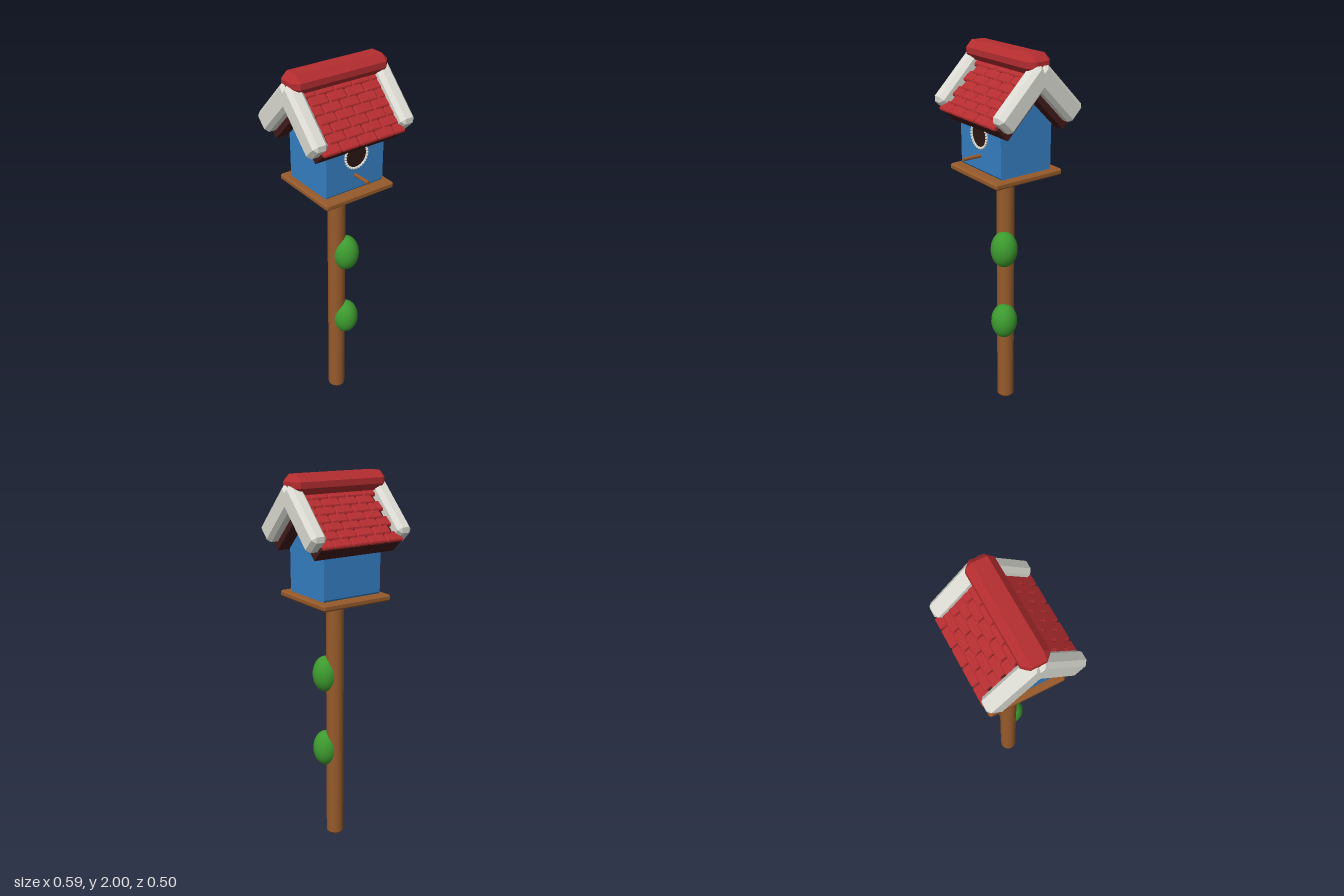
import * as THREE from 'three';
import { ConvexGeometry } from 'three/addons/geometries/ConvexGeometry.js';

const paint = (name, color) => Object.assign(new THREE.MeshStandardMaterial({ color }), { name });

// Box with every edge and corner chamfered by c
function chamferBox(w, h, d, c) {
  const pts = [];
  const half = [w / 2, h / 2, d / 2];
  for (let axis = 0; axis < 3; axis++)
    for (const sx of [-1, 1]) for (const sy of [-1, 1]) for (const sz of [-1, 1]) {
      const s = [sx, sy, sz];
      pts.push(new THREE.Vector3(...half.map((v, i) => s[i] * (i === axis ? v : v - c))));
    }
  return new ConvexGeometry(pts);
}

// Symmetric gable profile of [z, y] points, extruded along x and centred
function gable(points, width) {
  const shape = new THREE.Shape(points.map(([z, y]) => new THREE.Vector2(z, y)));
  const geo = new THREE.ExtrudeGeometry(shape, { depth: width, bevelEnabled: false });
  return geo.translate(0, 0, -width / 2).rotateY(Math.PI / 2);
}

export function createModel() {
  const model = new THREE.Group();
  model.name = 'birdhouse';
  const wood = paint('brown wood', 0x965a2b);
  const blue = paint('blue wall', 0x3580c4);
  const red = paint('red shingle', 0xb52d30);
  const white = paint('off-white trim', 0xdcdcd4);
  const dark = paint('dark maroon roof board', 0x421a1a);
  const hollow = paint('dark hollow', 0x2b1712);
  const green = paint('leaf green', 0x3d9a2f);

  const add = (name, geo, mat, x = 0, y = 0, z = 0, parent = model) => {
    const mesh = new THREE.Mesh(geo, mat);
    mesh.name = name;
    mesh.position.set(x, y, z);
    parent.add(mesh);
    return mesh;
  };

  // Post with slightly chamfered foot
  const cz = -0.004;
  add('post', new THREE.CylinderGeometry(0.047, 0.047, 1.36, 32, 1, true), wood, 0, 0.692, cz);
  add('postFoot', new THREE.CylinderGeometry(0.047, 0.037, 0.012, 32, 1, true), wood, 0, 0.006, cz);
  add('postEnd', new THREE.CircleGeometry(0.037, 32).rotateX(Math.PI / 2), hollow, 0, 0, cz);

  // Leaf clumps on the post
  for (const y of [0.52, 0.953])
    add('leafClump', new THREE.SphereGeometry(1, 24, 16).scale(0.071, 0.1, 0.072), green, 0.035, y, 0.031);

  // Floor and house body
  add('floorPlate', chamferBox(0.408, 0.033, 0.408, 0.008), wood, 0, 1.384, cz);
  add('houseBody', gable([
    [-0.145, 1.4], [0.145, 1.4], [0.153, 1.41], [0.153, 1.645], [0, 1.8], [-0.153, 1.645], [-0.153, 1.41],
  ], 0.34), blue, 0, 0, cz);

  // Entrance hole, beaded ring and perch
  add('entranceHole', new THREE.CircleGeometry(0.064, 32), hollow, 0, 1.588, 0.152);
  add('entranceRing', new THREE.TorusGeometry(0.064, 0.005, 8, 40), white, 0, 1.588, 0.154);
  const beads = 28;
  for (let i = 0; i < beads; i++) {
    const a = (i / beads) * Math.PI * 2;
    add('ringBead', new THREE.SphereGeometry(0.007, 8, 6), white,
      Math.cos(a) * 0.064, 1.588 + Math.sin(a) * 0.064, 0.157);
  }
  add('perch', new THREE.CylinderGeometry(0.009, 0.009, 0.11, 12).rotateX(Math.PI / 2), wood, 0, 1.483, 0.196);

  // Roof
  const roof = new THREE.Group();
  roof.name = 'roof';
  roof.position.set(0, 0, -0.009);
  model.add(roof);
  add('roofBoards', gable([
    [0, 1.782], [0.166, 1.616], [0.226, 1.674], [0, 1.895], [-0.226, 1.674], [-0.166, 1.616],
  ], 0.474), dark, 0, 0, 0, roof);
  add('ridgeCap', chamferBox(0.55, 0.096, 0.139, 0.033), red, 0, 1.952, 0, roof);

  const pitch = 0.103;
  const shingleGeo = chamferBox(0.098, 0.022, 0.062, 0.006);
  const trimGeo = chamferBox(0.083, 0.112, 0.335, 0.02);
  for (const side of [1, -1]) {
    const half = new THREE.Group();
    half.name = side > 0 ? 'frontRoofHalf' : 'backRoofHalf';
    if (side < 0) half.rotation.y = Math.PI;
    roof.add(half);
    // Local z runs down the slope and local y points out of it
    const slope = new THREE.Group();
    slope.name = 'slope';
    slope.position.y = 1.9;
    slope.rotation.x = Math.PI / 4;
    half.add(slope);

    // Staggered, overlapping shingle rows from the eave up
    for (let row = 0; row < 7; row++) {
      const odd = row % 2;
      const count = odd ? 4 : 5;
      for (let i = 0; i < count; i++) {
        const x = (odd ? -0.1385 : -0.1895) + i * pitch;
        const tile = add('shingle', shingleGeo, red, side * x, 0.008, 0.297 - row * 0.047, slope);
        tile.rotation.x = -0.13;
        if (!odd && i === 4) { // end tile is cut to stay inside the trim
          tile.scale.x = 0.6;
          tile.position.x = side * (x - 0.02);
        }
      }
    }
    // Barge boards at both ends
    for (const sx of [-1, 1]) add('bargeBoard', trimGeo, white, sx * 0.2515, 0.003, 0.137, slope);
  }
  return model;
}
